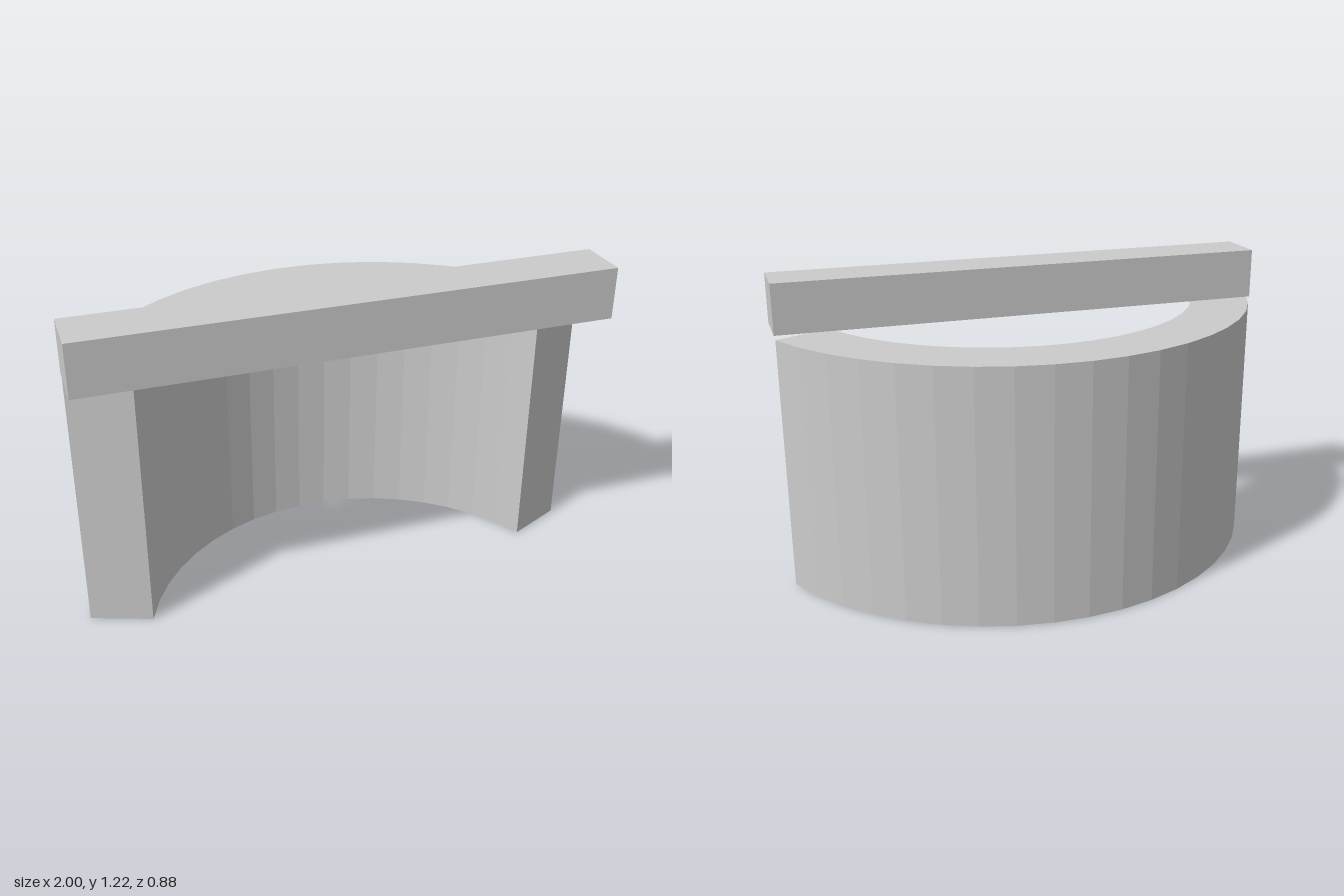
import * as THREE from 'three';

export function createModel() {
  const group = new THREE.Group();
  const material = new THREE.MeshStandardMaterial({ color: 0xcccccc, flatShading: true });

  // Curved wall: a 135 degree ring sector, swung slightly off centre
  const center = { x: 0.018, z: 0.641 };
  const outer = 1.0834, inner = 0.846, height = 1.018;
  const segments = 18, start = 25, step = 7.5;
  const ringPoint = (radius, i) => {
    const a = THREE.MathUtils.degToRad(start + i * step);
    return new THREE.Vector2(radius * Math.cos(a), radius * Math.sin(a));
  };
  const outline = [];
  for (let i = 0; i <= segments; i++) outline.push(ringPoint(outer, i));
  for (let i = segments; i >= 0; i--) outline.push(ringPoint(inner, i));
  const wallGeometry = new THREE.ExtrudeGeometry(new THREE.Shape(outline), {
    depth: height, bevelEnabled: false,
  });
  wallGeometry.rotateX(-Math.PI / 2); // extrusion now runs up y
  const wall = new THREE.Mesh(wallGeometry, material);
  wall.name = 'curvedWall';
  wall.position.set(center.x, 0, center.z);
  group.add(wall);

  // Straight square beam across the front, resting on the wall ends
  const beam = new THREE.Mesh(new THREE.BoxGeometry(2, 0.2, 0.203), material);
  beam.name = 'beam';
  beam.position.set(0, 1.12, 0.34);
  group.add(beam);

  return group;
}
